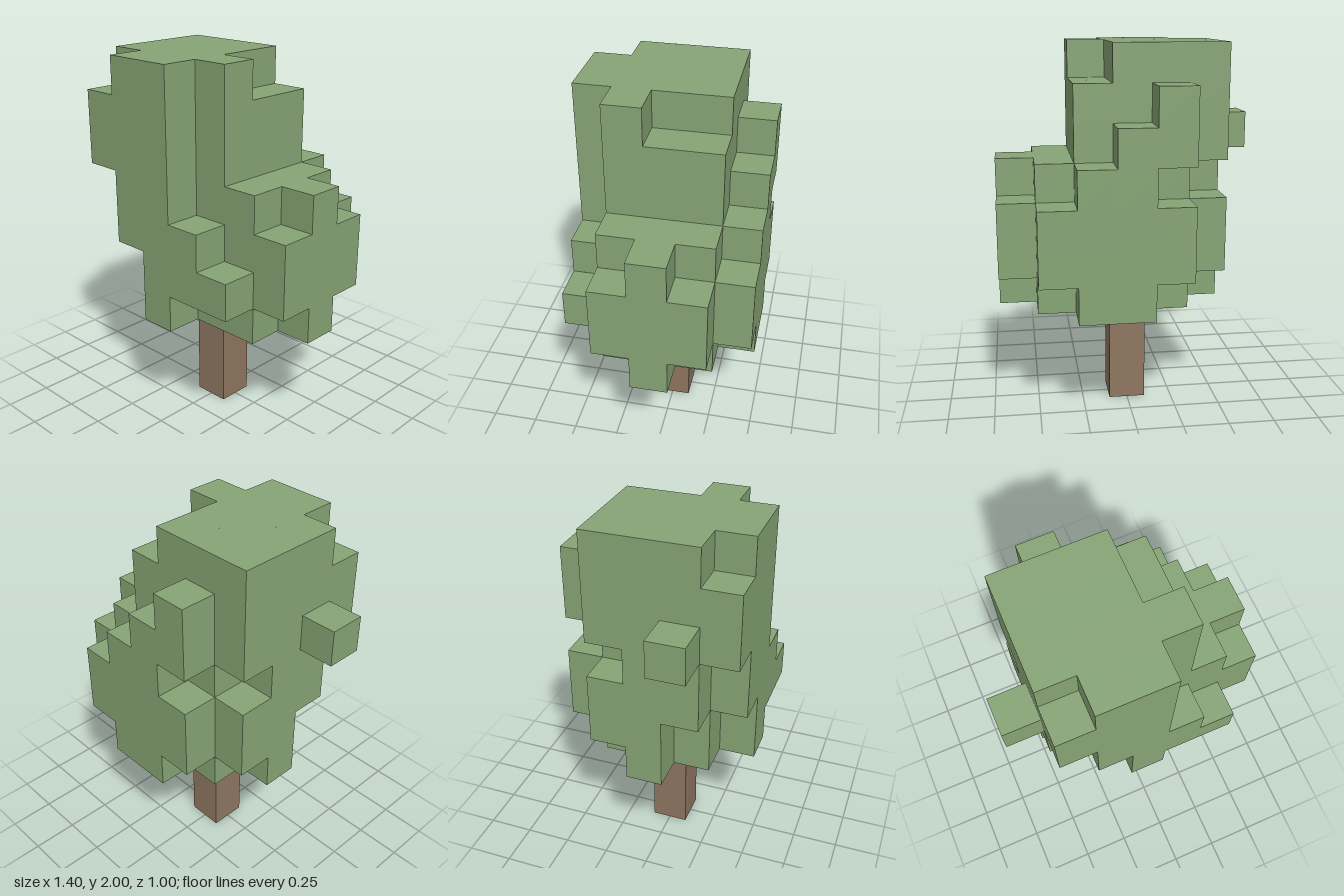
import * as THREE from 'three';
import { mergeGeometries } from 'three/addons/utils/BufferGeometryUtils.js';

const CELL = 0.2;
const TRUNK_HEIGHT = 0.6;

// Crown layers from bottom to top. Each layer has five rows from back to front,
// and each row is the first and last filled column in x (null = empty row).
const LAYERS = [
  [[3, 4], [2, 5], [1, 6], [2, 5], [3, 3]],
  [[2, 5], [1, 6], [1, 6], [2, 6], [3, 5]],
  [[2, 5], [1, 6], [1, 6], [1, 6], [2, 4]],
  [[3, 4], [2, 5], [1, 6], [1, 5], [2, 3]],
  [[2, 3], [1, 4], [1, 4], [0, 4], [1, 3]],
  [[2, 2], [1, 4], [1, 4], [1, 4], [1, 3]],
  [null, [1, 3], [1, 3], [1, 4], [2, 3]],
];

const DIRECTIONS = [
  [1, 0, 0], [-1, 0, 0], [0, 1, 0], [0, -1, 0], [0, 0, 1], [0, 0, -1],
].map((d) => new THREE.Vector3(...d));

function isFilled(x, y, z) {
  const span = LAYERS[y]?.[z];
  return !!span && x >= span[0] && x <= span[1];
}

// Only the faces between a filled and an empty cell are built
function crownGeometry() {
  const faces = [];
  LAYERS.forEach((rows, y) => rows.forEach((span, z) => {
    if (!span) return;
    for (let x = span[0]; x <= span[1]; x++) {
      const centre = new THREE.Vector3(
        (x - 3) * CELL, TRUNK_HEIGHT + (y + 0.5) * CELL, (z - 2) * CELL);
      for (const d of DIRECTIONS) {
        if (isFilled(x + d.x, y + d.y, z + d.z)) continue;
        const p = centre.clone().addScaledVector(d, CELL / 2);
        faces.push(new THREE.PlaneGeometry(CELL, CELL).lookAt(d).translate(p.x, p.y, p.z));
      }
    }
  }));
  return mergeGeometries(faces);
}

export function createModel() {
  const tree = new THREE.Group();
  tree.name = 'blockTree';

  // Blocky crown
  const crown = new THREE.Mesh(
    crownGeometry(),
    new THREE.MeshStandardMaterial({ color: 0x86a475, flatShading: true }));
  crown.name = 'crown';

  // Square trunk
  const trunk = new THREE.Mesh(
    new THREE.BoxGeometry(CELL, TRUNK_HEIGHT, CELL),
    new THREE.MeshStandardMaterial({ color: 0x8f7660, flatShading: true }));
  trunk.name = 'trunk';
  trunk.position.y = TRUNK_HEIGHT / 2;

  tree.add(crown, trunk);
  return tree;
}
